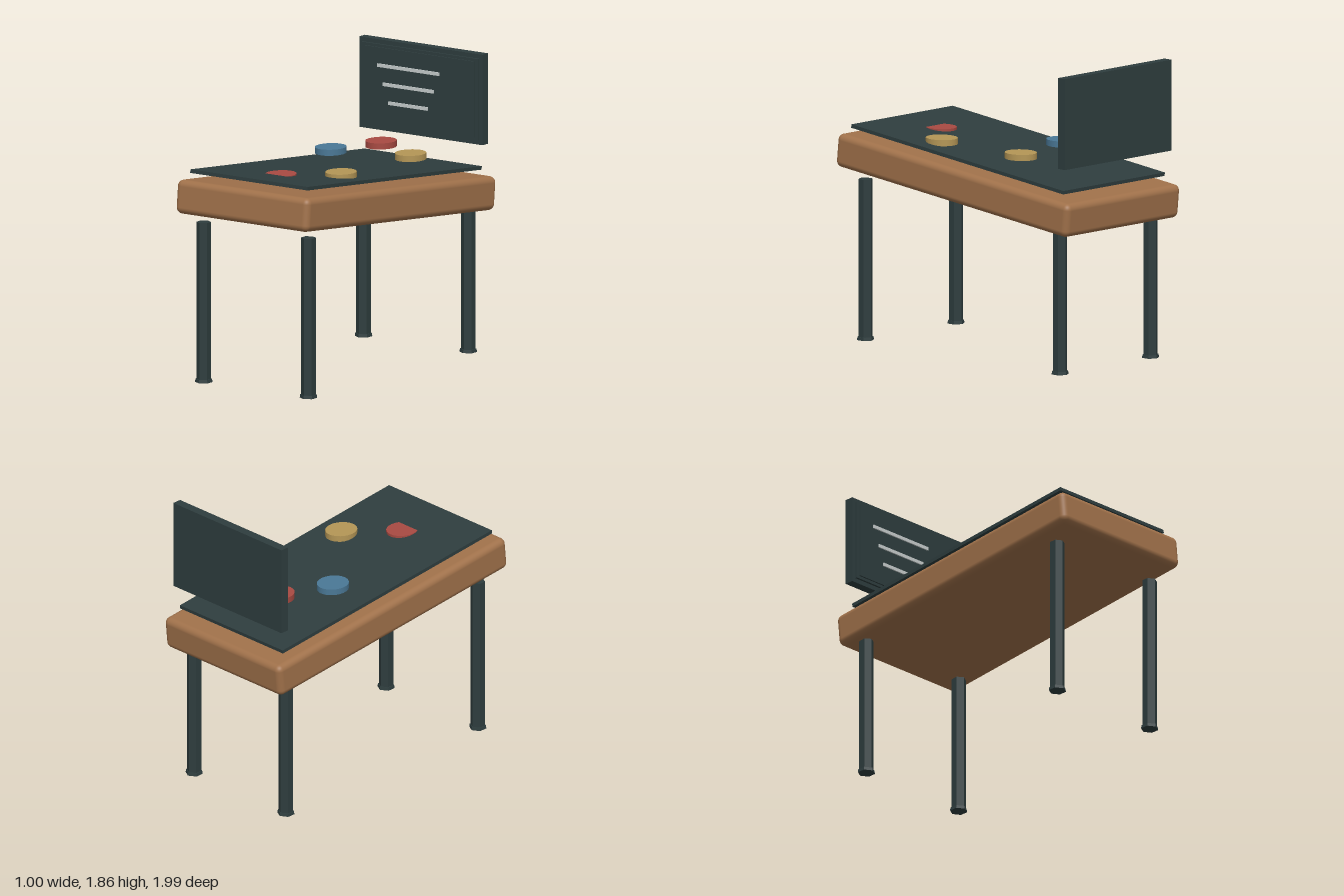
import * as THREE from 'three';
import { RoundedBoxGeometry } from 'three/addons/geometries/RoundedBoxGeometry.js';

const mat = (name, color, flatShading = false) => {
  const m = new THREE.MeshStandardMaterial({ color, flatShading });
  m.name = name;
  return m;
};

export function createModel() {
  const model = new THREE.Group();
  model.name = 'arcadeTable';

  const wood = mat('wood', 0xa0714a);
  const dark = mat('darkSlate', 0x2e3d3e, true);
  const red = mat('red', 0xa84a42);
  const yellow = mat('yellow', 0xb49656);
  const blue = mat('blue', 0x4a7896);
  const pale = mat('paleGrey', 0xc8cece);

  const add = (name, geometry, material, x, y, z) => {
    const mesh = new THREE.Mesh(geometry, material);
    mesh.name = name;
    mesh.position.set(x, y, z);
    model.add(mesh);
    return mesh;
  };
  const box = (w, h, d) => new THREE.BoxGeometry(w, h, d);

  // Sloping cabinet and the playfield sheet floating above it
  const tilt = -0.1;
  add('cabinet', new RoundedBoxGeometry(1, 0.21, 1.99, 4, 0.04), wood, 0, 1.075, 0).rotation.x = tilt;
  add('playfield', box(0.885, 0.022, 1.825), dark, 0, 1.233, 0).rotation.x = tilt;

  // Hexagonal legs with slightly wider feet
  const legGeo = new THREE.CylinderGeometry(0.0455, 0.0455, 1, 6);
  const footGeo = new THREE.CylinderGeometry(0.051, 0.054, 0.02, 6);
  for (const x of [-0.395, 0.395]) {
    for (const z of [-0.833, 0.833]) {
      add('leg', legGeo, dark, x, 0.5, z);
      add('foot', footGeo, dark, x, 0.01, z);
    }
  }

  // Level oval bumpers; the front one is partly sunk in the playfield
  const bumperGeo = new THREE.CylinderGeometry(1, 1, 0.038, 24);
  const bumpers = [
    [red, -0.08, -0.58],
    [yellow, 0.283, -0.387],
    [blue, -0.22, -0.249],
    [yellow, 0.262, 0.31],
    [red, 0, 0.575],
  ];
  for (const [material, x, z] of bumpers) {
    add('bumper', bumperGeo, material, x, 1.288, z).scale.set(0.093, 1, 0.104);
  }

  // Upright back board with two stepped front panels
  add('backBoard', box(0.93, 0.565, 0.058), dark, 0, 1.5725, -0.914);
  add('boardFrame', box(0.88, 0.51, 0.014), dark, 0, 1.573, -0.878);
  add('boardScreen', box(0.836, 0.475, 0.01), dark, 0, 1.573, -0.867);

  // Score bars on the screen
  for (const [x0, x1, y] of [[-0.31, 0.157, 1.7], [-0.265, 0.115, 1.585], [-0.225, 0.07, 1.472]]) {
    add('scoreBar', box(x1 - x0, 0.021, 0.009), pale, (x0 + x1) / 2, y, -0.858);
  }

  return model;
}
